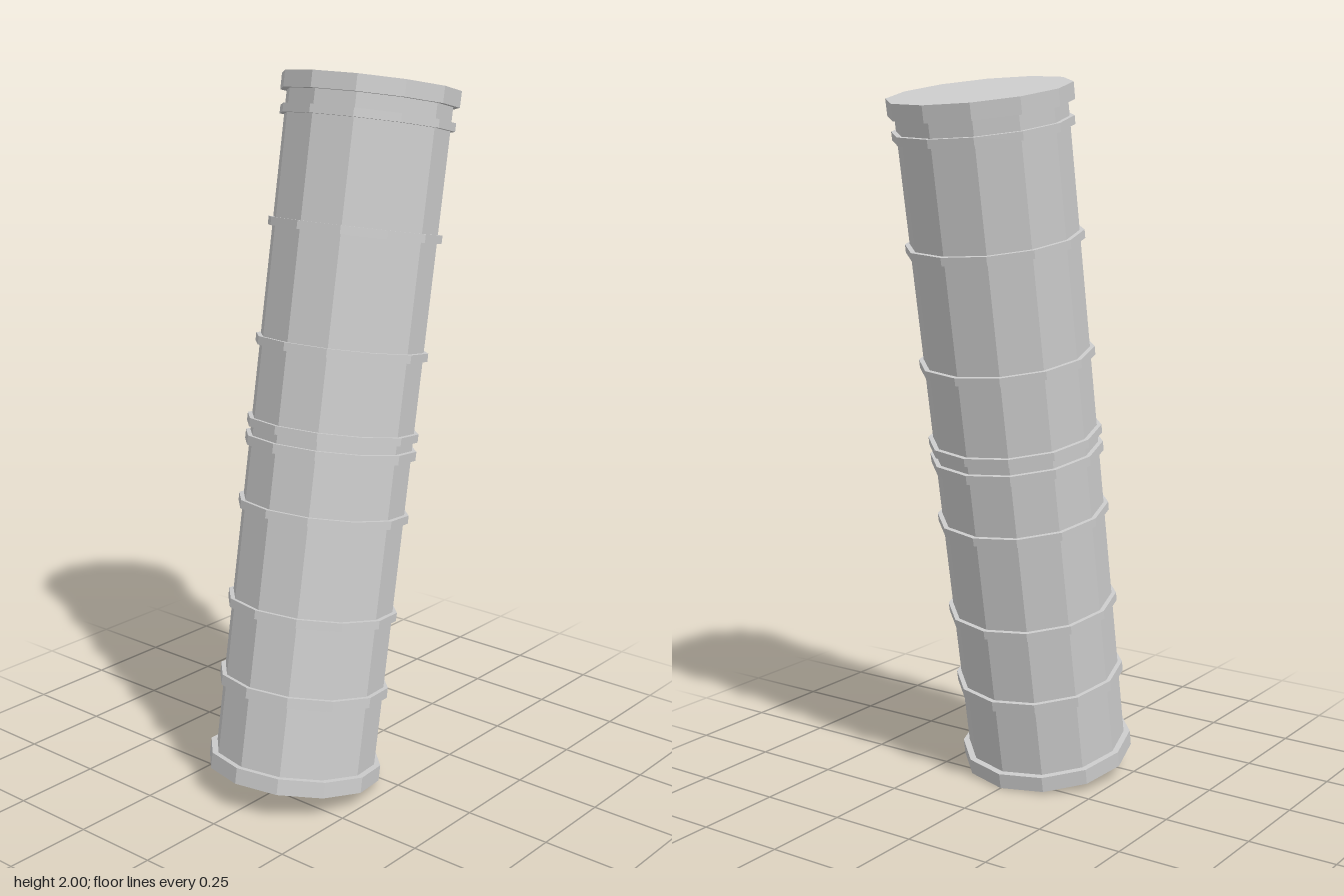
import * as THREE from 'three';

const SIDES = 12;
const BODY_R = 0.23, BAND_R = 0.243, END_R = 0.248;
const HALF = 0.971, END_H = 0.045;

export function createModel() {
  const grey = new THREE.MeshStandardMaterial({ color: 0xcccccc });
  grey.name = 'light grey';
  grey.flatShading = true;
  grey.side = THREE.DoubleSide;

  // Everything is turned around one leaning axis, centred on its middle
  const column = new THREE.Group();
  column.name = 'leaningColumn';
  column.position.y = 1;
  column.rotation.x = THREE.MathUtils.degToRad(-10);

  const turn = (name, profile) => {
    const points = profile.map(([r, y]) => new THREE.Vector2(r, y));
    const mesh = new THREE.Mesh(new THREE.LatheGeometry(points, SIDES), grey);
    mesh.name = name;
    column.add(mesh);
  };

  // Hollow tube
  turn('tube', [[BODY_R, -HALF + END_H], [BODY_R, HALF - END_H]]);

  // Flared foot, open underneath
  turn('foot', [[END_R, -HALF], [END_R, -HALF + END_H], [BODY_R, -HALF + END_H]]);

  // Closed lid
  turn('lid', [[BODY_R, HALF - END_H], [END_R, HALF - END_H], [END_R, HALF], [0, HALF]]);

  // Raised bands: height along the axis, thickness
  const bands = [
    [0.873, 0.023], [0.57, 0.023], [0.246, 0.023], [0.02, 0.023],
    [-0.03, 0.026], [-0.21, 0.023], [-0.49, 0.024], [-0.712, 0.029],
  ];
  bands.forEach(([y, h], i) => turn(`band${i + 1}`, [
    [BODY_R, y - h / 2], [BAND_R, y - h / 2], [BAND_R, y + h / 2], [BODY_R, y + h / 2],
  ]));

  const model = new THREE.Group();
  model.name = 'bandedColumn';
  model.add(column);
  return model;
}
